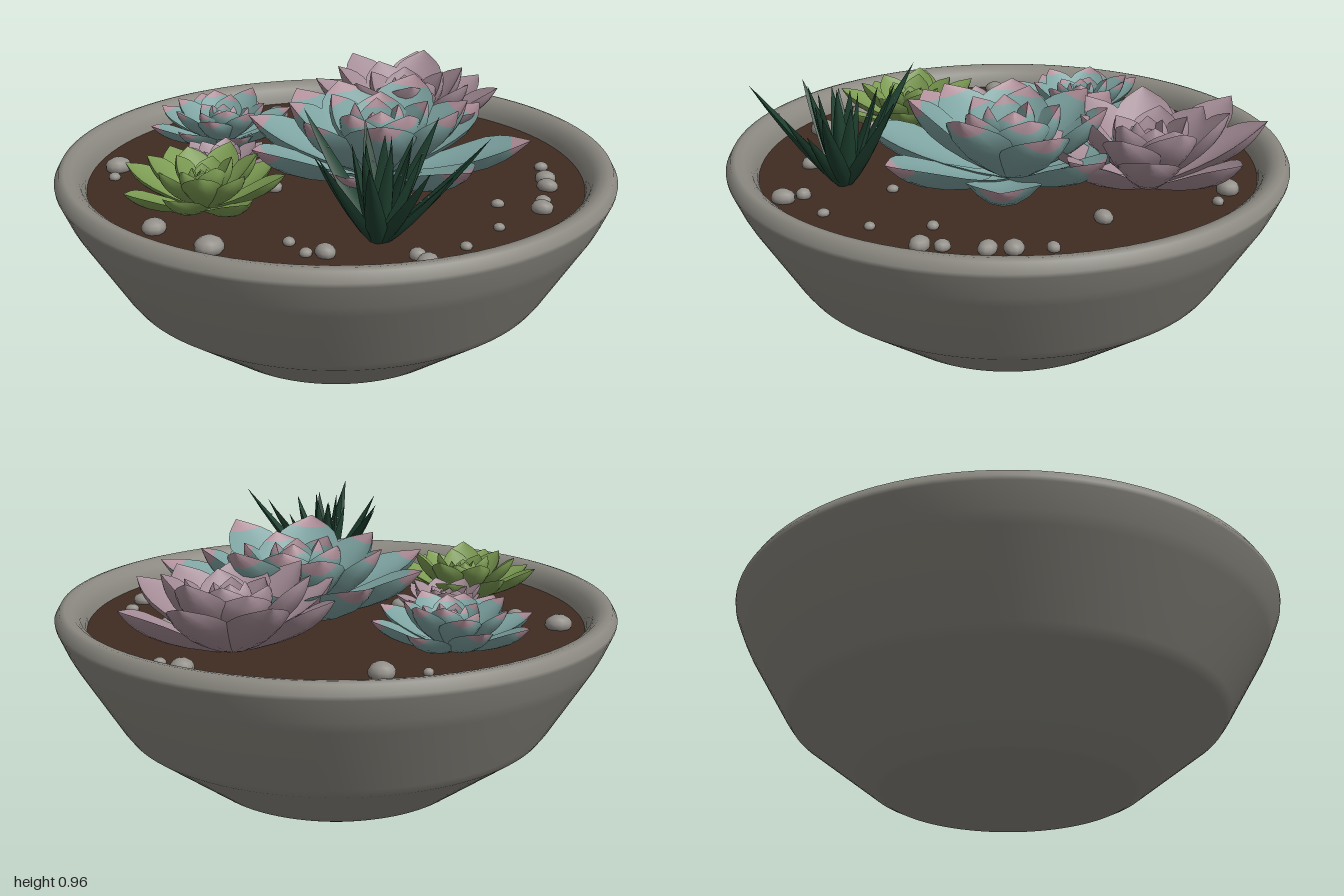
import * as THREE from 'three';

const mat = (name, color) => {
  const m = new THREE.MeshStandardMaterial({ color });
  m.name = name;
  return m;
};
const SOIL_Y = 0.61;
const DEG = Math.PI / 180;

// Leaf outlines: [position along leaf, relative half width]
const SPOON = [[0, 0.4], [0.2, 0.58], [0.4, 0.82], [0.56, 0.97], [0.7, 1], [0.8, 0.84], [0.87, 0.62], [0.94, 0.3], [1, 0]];
const SPIKE = [[0, 0.75], [0.2, 1], [0.4, 0.92], [0.6, 0.7], [0.8, 0.4], [1, 0]];

// Cupped leaf growing along +z, bending upward from angle e0 to e1;
// group 0 is the body, group 1 the tip
function leafGeometry({ outline, len, half, thick, cup, e0, e1, tipRows = 2 }) {
  const cols = 6, row = cols + 1, n = outline.length;
  const pos = [], body = [], tip = [];
  for (const side of [1, -1]) {
    const start = pos.length / 3;
    let y = 0, z = 0, last = 0;
    outline.forEach(([t, w], i) => {
      const e = e0 + (e1 - e0) * t;
      z += Math.cos(e) * (t - last) * len;
      y += Math.sin(e) * (t - last) * len;
      last = t;
      for (let j = 0; j <= cols; j++) {
        const s = (j / cols) * 2 - 1;
        const off = half * cup * w * s * s + (side > 0 ? 0.35 : -1) * thick * w * (1 - s * s);
        pos.push(half * w * s, y + Math.cos(e) * off, z - Math.sin(e) * off);
      }
      if (i === n - 1) return;
      const list = i >= n - 1 - tipRows ? tip : body;
      for (let j = 0; j < cols; j++) {
        const a = start + i * row + j, b = a + row;
        if (side > 0) list.push(a, b, a + 1, a + 1, b, b + 1);
        else list.push(a, a + 1, b, a + 1, b + 1, b);
      }
    });
  }
  const g = new THREE.BufferGeometry();
  g.setAttribute('position', new THREE.Float32BufferAttribute(pos, 3));
  g.setIndex([...body, ...tip]);
  g.addGroup(0, body.length, 0);
  g.addGroup(body.length, tip.length, 1);
  g.computeVertexNormals();
  return g;
}

export function createModel() {
  const model = new THREE.Group();
  model.name = 'succulentBowl';
  let seed = 7;
  const rand = () => (seed = (seed * 16807) % 2147483647) / 2147483647;
  const jitter = (v, k = 0.06) => v * (1 + (rand() * 2 - 1) * k);

  const stone = mat('stone grey', 0x8a8880);
  const earth = mat('soil brown', 0x3f2c22);
  const blue = mat('blue green leaf', 0x7da3a1);
  const pink = mat('dusty pink leaf', 0xa48c96);
  const blush = mat('blush tip', 0xb0909a);
  const green = mat('bright green leaf', 0x7b9a52);
  const dark = mat('dark green leaf', 0x1e4030);
  const gravel = mat('pebble grey', 0x938f89);
  const white = mat('pale speck', 0xc4d0c8);

  const add = (parent, name, geo, material) => {
    const m = new THREE.Mesh(geo, material);
    m.name = name;
    parent.add(m);
    return m;
  };

  // Bowl wall with rounded rim, underside and soil
  const profile = [
    [0.45, 0], [0.49, 0.02], [0.6, 0.105], [0.775, 0.24], [0.8, 0.275], [0.945, 0.52], [0.965, 0.56],
    [0.998, 0.64], [1, 0.655], [0.983, 0.685], [0.965, 0.69], [0.94, 0.685], [0.915, 0.665], [0.895, 0.63], [0.885, 0.58],
  ].map(([x, y]) => new THREE.Vector2(x, y));
  add(model, 'bowl', new THREE.LatheGeometry(profile, 96), stone);
  add(model, 'bowlBase', new THREE.CircleGeometry(0.45, 96), stone).rotation.x = Math.PI / 2;
  const soil = add(model, 'soil', new THREE.CircleGeometry(0.892, 96), earth);
  soil.rotation.x = -Math.PI / 2;
  soil.position.y = SOIL_Y;

  // Rosette rings: leaf count, length, half width, start and end angle
  const RINGS = [
    [8, 1.04, 0.235, 6, 31],
    [7, 0.84, 0.235, 25, 50],
    [5, 0.62, 0.2, 42, 66],
    [4, 0.5, 0.14, 60, 84],
    [3, 0.4, 0.08, 76, 90],
  ];
  function rosette(name, x, z, R, bodyMat, tipMat, phase = 0, lift = 0, slim = 1) {
    const plant = new THREE.Group();
    plant.name = name;
    plant.position.set(x, SOIL_Y, z);
    RINGS.forEach(([count, len, half, e0, e1], k) => {
      for (let i = 0; i < count; i++) {
        const rise = lift * (1 - k / 4) + (rand() - 0.5) * 7;
        const geo = leafGeometry({
          outline: SPOON, len: jitter(len, 0.07) * R, half: half * R * slim, thick: 0.07 * R, cup: 0.3,
          e0: (e0 + rise) * DEG, e1: (e1 + rise) * DEG,
        });
        const leaf = add(plant, 'leaf', geo, [bodyMat, tipMat]);
        const turn = phase + k * 24 + (i + (rand() - 0.5) * 0.15) * (360 / count);
        leaf.rotation.y = (90 - turn) * DEG;
        leaf.position.y = 0.012 * k * R;
      }
    });
    model.add(plant);
  }
  rosette('largeBlueRosette', 0.15, -0.02, 0.52, blue, blush, 0, 0);
  rosette('largePinkRosette', 0.18, -0.5, 0.43, pink, pink, 0, 8);
  rosette('smallBlueRosette', -0.5, -0.25, 0.29, blue, blush, 12, 2);
  rosette('smallPinkRosette', -0.38, 0.13, 0.2, pink, pink, 30, 4);
  rosette('greenRosette', -0.37, 0.41, 0.3, green, green, 2, 3, 0.9);

  // Spiky plant: horizontal reach of each leaf tip and its rise
  const spiky = new THREE.Group();
  spiky.name = 'spikyPlant';
  spiky.position.set(0.25, SOIL_Y - 0.01, 0.55);
  const tips = [
    [0.34, -0.02, 0.36], [-0.29, -0.21, 0.36], [0.02, 0.31, 0.36], [-0.2, 0.05, 0.29], [-0.16, 0.17, 0.33],
    [0.18, 0.15, 0.3], [0.16, -0.22, 0.36], [-0.08, -0.18, 0.35], [0.08, -0.19, 0.3], [0.24, 0.06, 0.26],
  ];
  for (let i = 0; i < 9; i++) {
    const a = i * 2.4, r = 0.04 + 0.014 * i;
    tips.push([Math.cos(a) * r, Math.sin(a) * r, 0.31 + 0.05 * rand()]);
  }
  const speck = new THREE.OctahedronGeometry(0.004);
  tips.forEach(([dx, dz, rise]) => {
    const reach = Math.hypot(dx, dz), len = Math.hypot(reach, rise), e = Math.atan2(rise, reach);
    const geo = leafGeometry({ outline: SPIKE, len, half: 0.034, thick: 0.024, cup: 0.12, e0: e - 0.05, e1: e + 0.05, tipRows: 0 });
    const leaf = add(spiky, 'spikeLeaf', geo, [dark, dark]);
    leaf.rotation.y = Math.atan2(dx, dz);
    // Pale specks on both faces
    [0.25, 0.4, 0.55, 0.7].forEach((t, i) => {
      const off = i % 2 ? 0.007 : -0.021 * (1 - 0.5 * t);
      const s = add(leaf, 'speck', speck, white);
      s.position.set((i % 3 - 1) * 0.008, Math.sin(e) * len * t + Math.cos(e) * off, Math.cos(e) * len * t - Math.sin(e) * off);
    });
  });
  model.add(spiky);

  // Pebbles: x, z, radius
  const pebble = new THREE.SphereGeometry(1, 10, 7);
  [
    [-0.37, -0.6, 0.045], [-0.5, -0.53, 0.02], [0.23, -0.77, 0.042], [0.33, -0.73, 0.022], [0.5, -0.35, 0.035],
    [0.73, -0.2, 0.025], [0.75, -0.08, 0.035], [0.76, 0, 0.035], [0.75, 0.14, 0.028], [0.75, 0.21, 0.037],
    [0.6, 0.19, 0.022], [0.62, 0.39, 0.02], [-0.79, 0.12, 0.045], [-0.77, 0.21, 0.022], [-0.25, 0.74, 0.046],
    [-0.47, 0.63, 0.04], [-0.02, 0.64, 0.022], [0.11, 0.7, 0.035], [0.05, 0.71, 0.022], [0.43, 0.72, 0.04],
    [0.39, 0.66, 0.03], [0.53, 0.56, 0.02], [0.31, 0.37, 0.02], [-0.18, 0.2, 0.03], [-0.62, 0.2, 0.03],
  ].forEach(([x, z, r]) => {
    const p = add(model, 'pebble', pebble, gravel);
    p.scale.set(jitter(r, 0.12), r * 0.75, jitter(r, 0.12));
    p.position.set(x, SOIL_Y + r * 0.35, z);
    p.rotation.y = rand() * 6;
  });

  return model;
}
